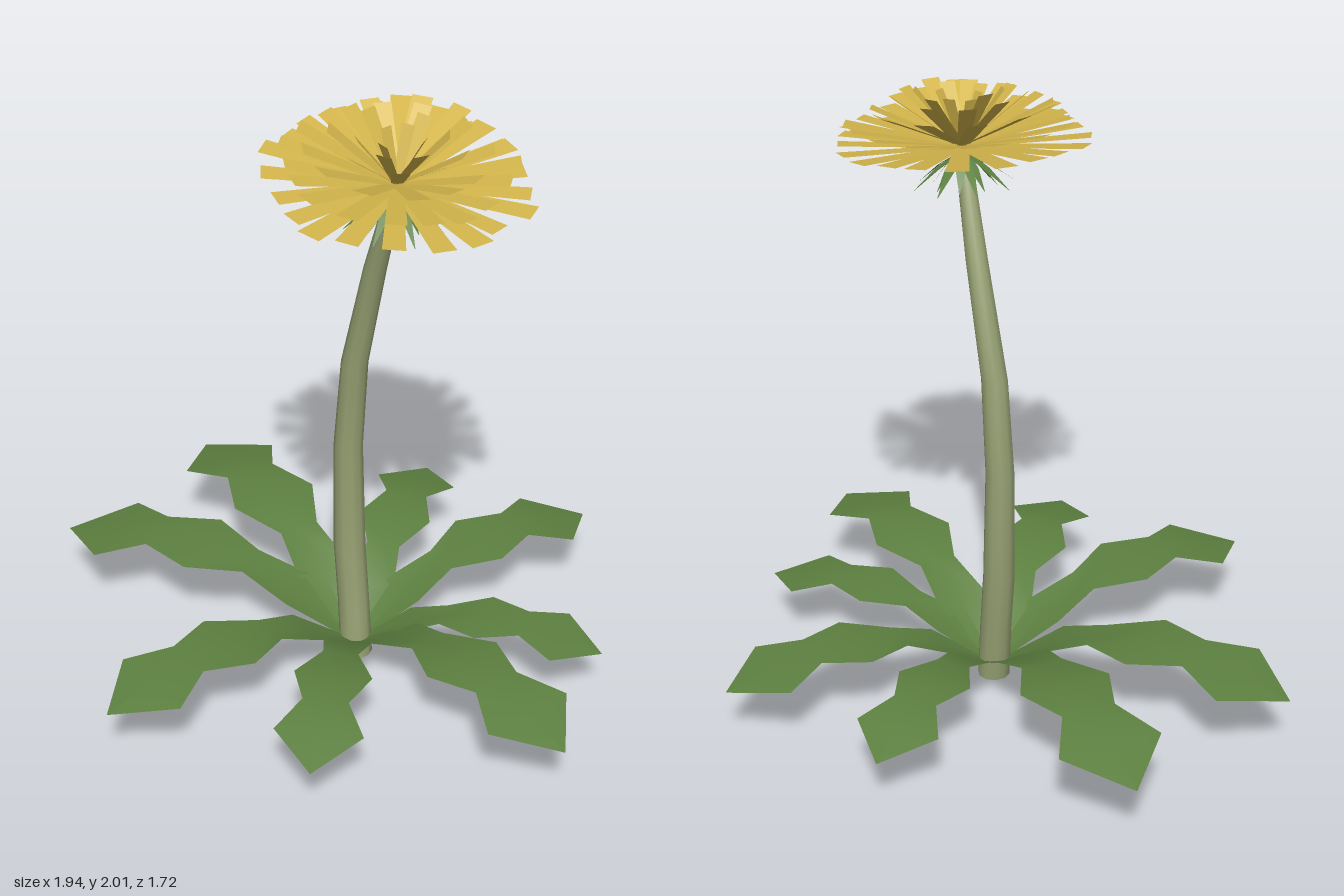
import * as THREE from 'three';
import { mergeVertices, toCreasedNormals } from 'three/addons/utils/BufferGeometryUtils.js';

const mat = (name, color) => {
  const m = new THREE.MeshStandardMaterial({ color, side: THREE.DoubleSide });
  m.name = name;
  return m;
};

// Smooth blade along +x from sections [x, y, halfWidth, edgeLift]
function blade(sections) {
  const pos = [], idx = [];
  sections.forEach(([x, y, w, lift = 0], i) => {
    pos.push(x, y + lift, -w, x, y, 0, x, y + lift, w);
    if (i === sections.length - 1) return;
    const a = i * 3;
    for (const k of [a, a + 1]) idx.push(k, k + 1, k + 3, k + 1, k + 4, k + 3);
  });
  const g = new THREE.BufferGeometry();
  g.setAttribute('position', new THREE.Float32BufferAttribute(pos, 3));
  g.setIndex(idx);
  g.computeVertexNormals();
  return g;
}

// Curved stem: a cylinder whose rings follow [x, y, z, radius]
function stemGeometry(rings) {
  const n = rings.length - 1;
  let g = new THREE.CylinderGeometry(1, 1, 1, 10, n);
  const p = g.attributes.position;
  for (let i = 0; i < p.count; i++) {
    const [x, y, z, r] = rings[Math.round((p.getY(i) + 0.5) * n)];
    p.setXYZ(i, x + p.getX(i) * r, y, z + p.getZ(i) * r);
  }
  g.deleteAttribute('uv');
  g.deleteAttribute('normal');
  g = mergeVertices(g);
  return toCreasedNormals(g, Math.PI / 3);
}

export function createModel() {
  const root = new THREE.Group();
  const leafGreen = mat('leaf green', 0x5d8040);
  const stemGreen = mat('pale stem green', 0x97a173);
  const petalYellow = mat('petal yellow', 0xd4b64c);
  const add = (parent, name, geometry, material) => {
    const m = new THREE.Mesh(geometry, material);
    m.name = name;
    parent.add(m);
    return m;
  };

  // Stem
  add(root, 'stem', stemGeometry([
    [0.085, 0, 0, 0.053], [0.068, 0.2, -0.015, 0.052], [0.048, 0.4, -0.028, 0.052],
    [0.04, 0.78, -0.033, 0.047], [0.066, 1.1, -0.02, 0.043],
    [0.148, 1.47, 0.018, 0.036], [0.235, 1.76, 0.092, 0.027],
  ]), stemGreen);

  // Rosette of lobed leaves, each given by its tip (x, z)
  const rosette = new THREE.Group();
  rosette.name = 'leaves';
  root.add(rosette);
  const tips = [[-0.97, 0.02], [-0.77, -0.64], [0, -0.86], [0.61, -0.78],
    [0.91, -0.07], [0.97, 0.48], [0.29, 0.85], [-0.39, 0.86]];
  for (const [x, z] of tips) {
    const dx = x - 0.085, len = Math.hypot(dx, z);
    const profile = [[0, 0, 0.012, 0], [0.2, 0.13, 0.09, 0.015], [0.36, 0.205, 0.065, 0.005],
      [0.525, 0.243, 0.142, -0.008], [0.685, 0.247, 0.083, -0.004], [0.83, 0.22, 0.16, -0.008], [1, 0.17, 0.001, 0]];
    const leaf = add(rosette, 'leaf', blade(profile.map(s => s.map(v => v * len))), leafGreen);
    leaf.position.set(0.085, 0.036, 0);
    leaf.rotation.y = -Math.atan2(z, dx);
  }

  // Flower head, tilted a little forward and sideways
  const head = new THREE.Group();
  head.name = 'flowerHead';
  head.position.set(0.245, 1.805, 0.1);
  head.quaternion.setFromUnitVectors(new THREE.Vector3(0, 1, 0), new THREE.Vector3(0.09, 1, 0.08).normalize());
  root.add(head);

  const receptacle = add(head, 'receptacle', new THREE.CylinderGeometry(0.034, 0.028, 0.055, 10), stemGreen);
  receptacle.position.y = -0.028;

  // Drooping bracts under the petals
  const bracts = 16;
  for (let i = 0; i < bracts; i++) {
    const s = i % 2 ? 0.6 : 1;
    const bract = add(head, 'bract', blade([[0.02, -0.025, 0.014],
      [0.02 + 0.065 * s, -0.065, 0.015], [0.02 + 0.14 * s, -0.125, 0.001]]), leafGreen);
    bract.rotation.y = i / bracts * Math.PI * 2;
  }

  // Petal rings: count, length, elevation in degrees, tip half width
  const petalRings = [[21, 0.425, 4, 0.038], [18, 0.375, 13, 0.035], [13, 0.335, 25, 0.034],
    [9, 0.28, 39, 0.031], [6, 0.235, 52, 0.027], [4, 0.19, 66, 0.022]];
  petalRings.forEach(([count, length, elevation, w], ring) => {
    const geometry = blade([[0.005, 0, w * 0.6], [length, 0, w]]);
    geometry.rotateZ(elevation * Math.PI / 180);
    for (let i = 0; i < count; i++) {
      const petal = add(head, 'petal', geometry, petalYellow);
      petal.rotation.y = (i + ring * 0.37 + 0.2 * Math.sin(i * 5 + ring)) / count * Math.PI * 2;
      petal.scale.setScalar(1 - 0.1 * Math.abs(Math.sin(i * 2.3 + ring)));
    }
  });
  return root;
}
